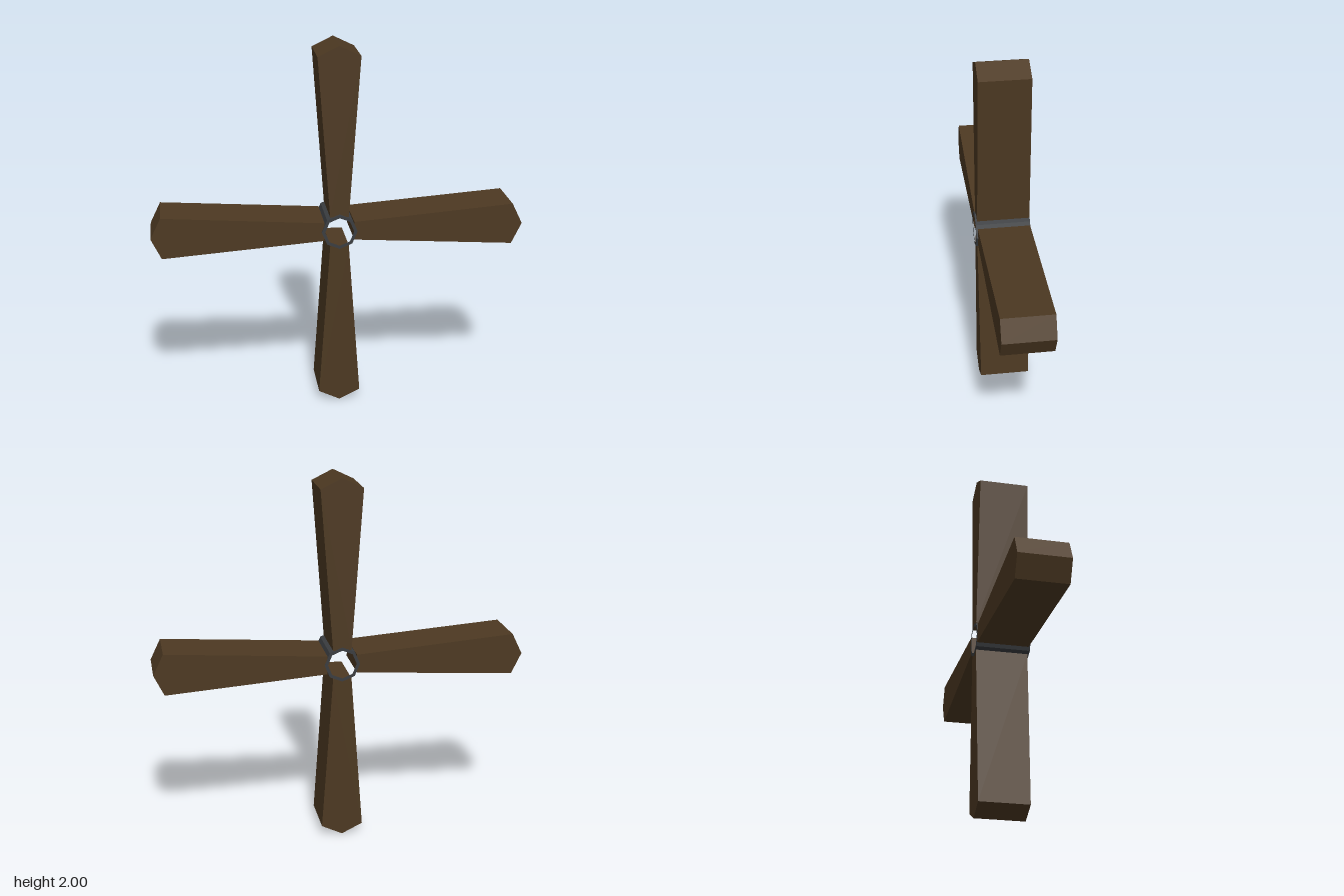
import * as THREE from 'three';

const WOOD = new THREE.MeshStandardMaterial({ color: 0x4d3922, flatShading: true });
const METAL = new THREE.MeshStandardMaterial({ color: 0x3a3d40, flatShading: true });

// One blade pointing up: widens outwards, ends in a blunt point, thins slightly in depth
function bladeGeometry() {
  const shape = new THREE.Shape([
    [-0.05, 0.08], [0.05, 0.08], [0.113, 0.945], [0, 1], [-0.113, 0.945],
  ].map(([x, y]) => new THREE.Vector2(x, y)));
  const geo = new THREE.ExtrudeGeometry(shape, { depth: 2, bevelEnabled: false });
  const p = geo.attributes.position;
  for (let i = 0; i < p.count; i++) {
    const half = 0.142 - 0.006 * p.getY(i);
    p.setZ(i, -0.005 + (p.getZ(i) - 1) * half);
  }
  geo.computeVertexNormals();
  return geo;
}

// Octagonal tube with a corner at the top
function hubGeometry(outer, inner, back, front) {
  const octagon = (r) => Array.from({ length: 8 }, (_, i) =>
    new THREE.Vector2(r * Math.sin(i * Math.PI / 4), r * Math.cos(i * Math.PI / 4)));
  const shape = new THREE.Shape(octagon(outer));
  shape.holes.push(new THREE.Path(octagon(inner)));
  return new THREE.ExtrudeGeometry(shape, { depth: front - back, bevelEnabled: false })
    .translate(0, 0, back);
}

export function createModel() {
  const group = new THREE.Group();
  const blade = bladeGeometry();
  ['topBlade', 'leftBlade', 'bottomBlade', 'rightBlade'].forEach((name, i) => {
    const mesh = new THREE.Mesh(blade, WOOD);
    mesh.name = name;
    mesh.position.y = 1;
    mesh.rotation.z = -i * Math.PI / 2;
    group.add(mesh);
  });

  // Hollow hub through the middle
  const hub = new THREE.Mesh(hubGeometry(0.096, 0.078, -0.148, 0.146), METAL);
  hub.name = 'hub';
  hub.position.y = 1;
  group.add(hub);
  return group;
}
